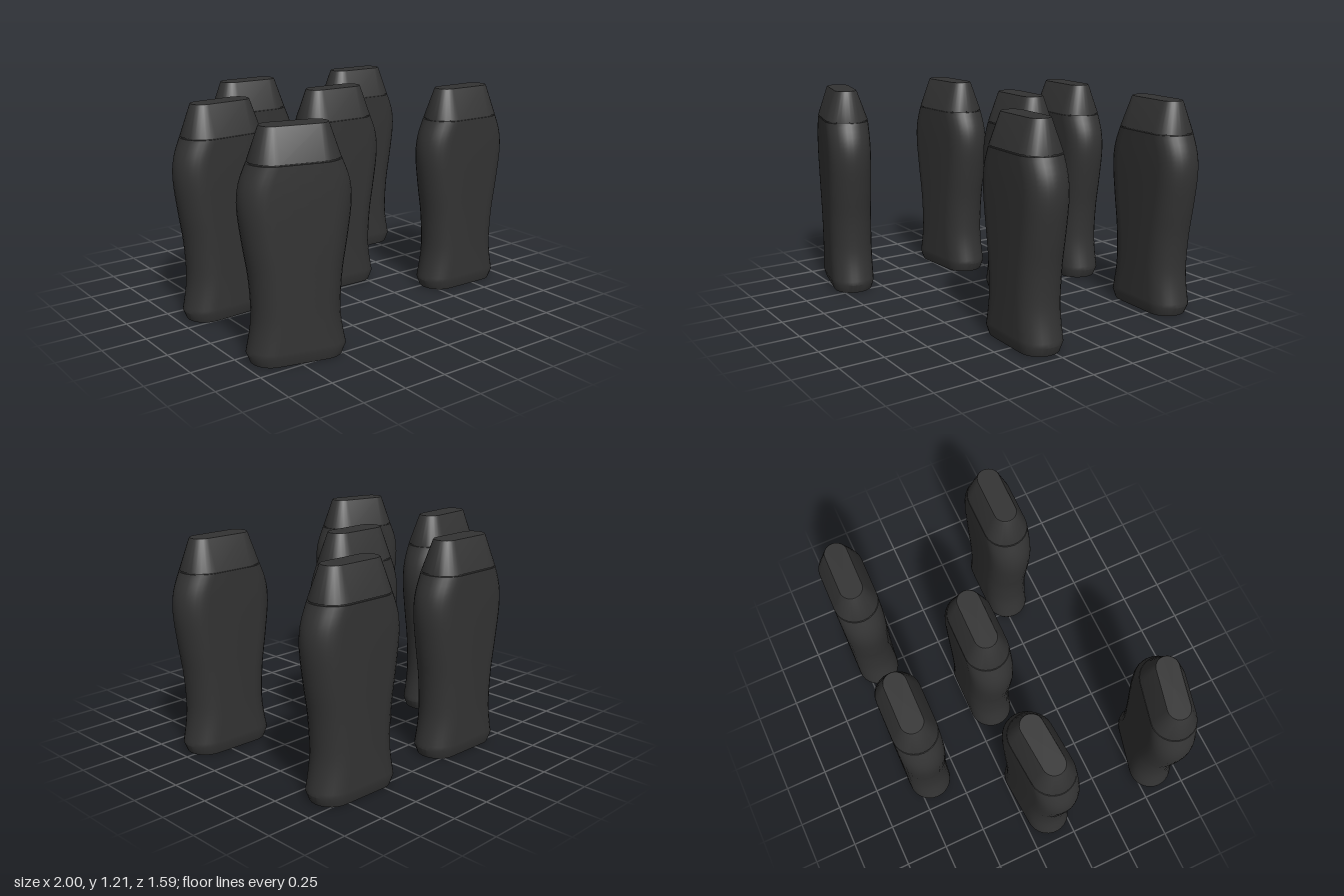
import * as THREE from 'three';
import { toCreasedNormals } from 'three/addons/utils/BufferGeometryUtils.js';

const ARC = 14; // segments per rounded end

// Stadium outline: half width w, half depth d, at height y
function ring(w, d, y) {
  const pts = [];
  for (const side of [1, -1]) {
    for (let i = 0; i <= ARC; i++) {
      const t = -Math.PI / 2 + (Math.PI * i) / ARC;
      pts.push([side * (w - d + d * Math.cos(t)), y, side * d * Math.sin(t)]);
    }
  }
  return pts;
}

// Closed loft through [y, half width, half depth] sections
function loft(sections) {
  const rings = sections.map(([y, w, d]) => ring(w, d, y));
  const n = rings[0].length;
  const pos = rings.flat(2);
  const index = [];
  for (let r = 0; r < rings.length - 1; r++) {
    for (let i = 0; i < n; i++) {
      const a = r * n + i, b = r * n + ((i + 1) % n);
      index.push(a, a + n, b, b, a + n, b + n);
    }
  }
  const bottom = rings.length * n, top = bottom + 1, last = (rings.length - 1) * n;
  pos.push(0, sections[0][0], 0, 0, sections[sections.length - 1][0], 0);
  for (let i = 0; i < n; i++) {
    const j = (i + 1) % n;
    index.push(bottom, i, j, top, last + j, last + i);
  }
  const geo = new THREE.BufferGeometry();
  geo.setAttribute('position', new THREE.Float32BufferAttribute(pos, 3));
  geo.setIndex(index);
  return toCreasedNormals(geo, 0.6);
}

export function createModel() {
  const model = new THREE.Group();
  const plastic = new THREE.MeshStandardMaterial({ color: 0x333333 });

  // Waisted body: smooth side curve above a chamfered foot
  const side = new THREE.SplineCurve([
    [0.265, 0.05], [0.242, 0.17], [0.235, 0.28], [0.246, 0.45], [0.272, 0.62],
    [0.294, 0.8], [0.284, 0.92], [0.242, 1.03],
  ].map(([x, y]) => new THREE.Vector2(x, y)));
  const bodyGeo = loft([
    [0, 0.245, 0.112],
    ...side.getPoints(28).map((p) => [p.y, p.x, 0.126]),
  ]);

  // Tapered cap, with a fine groove where it meets the body
  const capGeo = loft([
    [1.025, 0.234, 0.12], [1.036, 0.234, 0.12], [1.037, 0.239, 0.125],
    [1.204, 0.181, 0.067], [1.21, 0.177, 0.063],
  ]);

  // x, z, turn in degrees
  const places = [
    [-0.71, 0.63, -13.5], [0.703, 0.28, -1], [-0.695, -0.115, 4],
    [0.072, -0.13, -1], [-0.19, -0.667, -1], [0.635, -0.667, -1],
  ];
  for (const [x, z, turn] of places) {
    const bottle = new THREE.Group();
    bottle.name = 'bottle';
    const body = new THREE.Mesh(bodyGeo, plastic);
    body.name = 'bottleBody';
    const cap = new THREE.Mesh(capGeo, plastic);
    cap.name = 'bottleCap';
    bottle.add(body, cap);
    bottle.position.set(x, 0, z);
    bottle.rotation.y = THREE.MathUtils.degToRad(turn);
    model.add(bottle);
  }
  return model;
}
